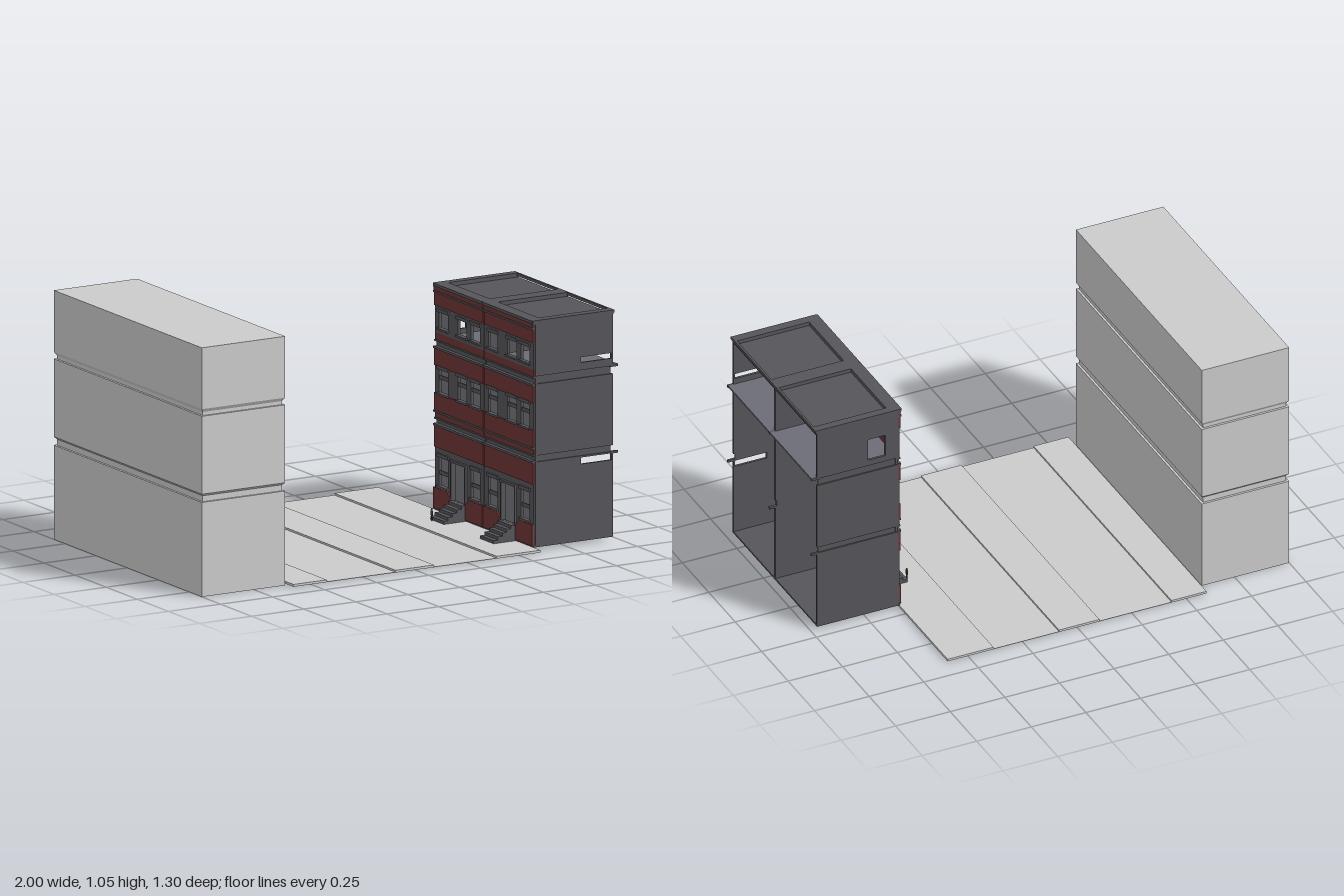
import * as THREE from 'three';

const grey = new THREE.MeshStandardMaterial({ color: 0xcccccc });
const dark = new THREE.MeshStandardMaterial({ color: 0x56555a, side: THREE.DoubleSide });
const red = new THREE.MeshStandardMaterial({ color: 0x6f3434, side: THREE.DoubleSide });
const slate = new THREE.MeshStandardMaterial({ color: 0x6c6c78, side: THREE.DoubleSide });

function add(parent, name, geometry, material) {
  const mesh = new THREE.Mesh(geometry, material);
  mesh.name = name;
  parent.add(mesh);
  return mesh;
}

// Box given by its limits on each axis
function box(parent, name, mat, x0, x1, y0, y1, z0, z1) {
  const g = new THREE.BoxGeometry(x1 - x0, y1 - y0, z1 - z0);
  g.translate((x0 + x1) / 2, (y0 + y1) / 2, (z0 + z1) / 2);
  return add(parent, name, g, mat);
}

// Box whose bottom edge is drawn in by a small inset
function flaredBox(parent, name, mat, x0, x1, y0, y1, z0, z1, inset) {
  const mesh = box(parent, name, mat, x0, x1, y0, y1, z0, z1);
  const p = mesh.geometry.attributes.position;
  for (let i = 0; i < p.count; i++) {
    if (p.getY(i) > (y0 + y1) / 2) continue;
    p.setX(i, p.getX(i) + (p.getX(i) > (x0 + x1) / 2 ? -inset : inset));
    p.setZ(i, p.getZ(i) + (p.getZ(i) > (z0 + z1) / 2 ? -inset : inset));
  }
  mesh.geometry.computeVertexNormals();
  return mesh;
}

// Flat panel with rectangular holes, each [u0, u1, v0, v1]
function panel(points, holes, depth) {
  const shape = new THREE.Shape(points.map(([u, v]) => new THREE.Vector2(u, v)));
  for (const [u0, u1, v0, v1] of holes) {
    shape.holes.push(new THREE.Path([[u0, v0], [u0, v1], [u1, v1], [u1, v0]]
      .map(([u, v]) => new THREE.Vector2(u, v))));
  }
  return new THREE.ExtrudeGeometry(shape, { depth, bevelEnabled: false });
}
const rect = (u0, u1, v0, v1) => [[u0, v0], [u1, v0], [u1, v1], [u0, v1]];

// Panel standing in the facade plane, its inner side at x
function facadePanel(parent, name, mat, points, holes, x, depth) {
  add(parent, name, panel(points, holes, depth).rotateY(-Math.PI / 2).translate(x, 0, 0), mat);
}

// Plain grooved building across the street
function plainBlock() {
  const g = new THREE.Group();
  g.name = 'plainBlock';
  const i = 0.01;
  box(g, 'lowerStorey', grey, -1, -0.6, 0, 0.40, -0.59, 0.6);
  [[0.40, 0.425, 0.435, 0.765], [0.765, 0.78, 0.795, 1.055]].forEach(([a, b, c, d]) => {
    box(g, 'groove', grey, -1 + i, -0.6 - i, a, b, -0.59 + i, 0.6 - i);
    flaredBox(g, 'grooveSlope', grey, -1, -0.6, b, c, -0.59, 0.6, i);
    box(g, 'upperStorey', grey, -1, -0.6, c, d, -0.59, 0.6);
  });
  return g;
}

// Raised pavements with road lanes between
function street() {
  const g = new THREE.Group();
  g.name = 'street';
  for (const [a, b] of [[-0.59, -0.43], [-0.1, 0.085], [0.385, 0.595]])
    box(g, 'pavement', grey, a, b, 0.003, 0.013, -0.655, 0.65);
  for (const [a, b] of [[-0.43, -0.1], [0.085, 0.385]])
    box(g, 'road', grey, a, b, 0.003, 0.005, -0.655, 0.65);
  return g;
}

// Brick front of one house, built around z = 0
function facade() {
  const g = new THREE.Group();
  g.name = 'facade';
  const w = 0.197;
  const columns = [[-0.165, -0.092], [-0.012, 0.058], [0.095, 0.165]];
  const brick = (y0, y1, x = 0.59) => box(g, 'brickBand', red, x, 0.608, y0, y1, -w, w);
  brick(0.28, 0.37);
  brick(0.405, 0.428, 0.594);
  brick(0.436, 0.51);
  brick(0.625, 0.697);
  brick(0.735, 0.765, 0.594);
  brick(0.88, 0.935);
  brick(0.943, 0.962, 0.588);
  // ledges and grooves between the bands
  for (const [y0, y1, x] of [[0.37, 0.38, 0.586], [0.38, 0.398, 0.602], [0.398, 0.405, 0.59],
    [0.428, 0.436, 0.586], [0.697, 0.707, 0.586], [0.707, 0.728, 0.602], [0.728, 0.735, 0.59],
    [0.935, 0.943, 0.584], [0.962, 0.974, 0.584]])
    box(g, 'ledge', dark, x, 0.612, y0, y1, -w, w);

  // upper window rows
  for (const [y0, y1, a, b, sash] of [[0.51, 0.625, 0.515, 0.615, true], [0.765, 0.88, 0.79, 0.857, false]]) {
    facadePanel(g, 'windowBand', dark, rect(-w, w, y0, y1), columns.map(([l, r]) => [l, r, a, b]), 0.606, 0.012);
    for (const [l, r] of columns) {
      box(g, 'sill', dark, 0.584, 0.6, a - 0.009, a, l - 0.007, r + 0.007);
      box(g, 'lintel', dark, 0.587, 0.6, b, b + 0.014, l - 0.007, r + 0.007);
      if (sash) box(g, 'sashBar', dark, 0.598, 0.603, 0.571, 0.588, l, r);
    }
  }

  // ground floor with door opening
  const low = [columns[0], columns[2]];
  facadePanel(g, 'groundWall', dark, rect(-w, w, 0.02, 0.28),
    [...low.map(([l, r]) => [l, r, 0.122, 0.243]), [-0.052, 0.052, 0.08, 0.243]], 0.606, 0.012);
  for (const [l, r] of low) {
    box(g, 'sashBar', dark, 0.598, 0.603, 0.168, 0.185, l, r);
    box(g, 'sill', dark, 0.583, 0.6, 0.112, 0.122, l - 0.007, r + 0.007);
    box(g, 'lintel', dark, 0.587, 0.6, 0.243, 0.258, l - 0.007, r + 0.007);
  }
  for (const s of [-1, 1]) {
    box(g, 'doorJamb', dark, 0.585, 0.61, 0.08, 0.25, s * 0.056 - 0.004, s * 0.056 + 0.004);
    facadePanel(g, 'brickBase', red,
      [[s * 0.06, 0.02], [s * w, 0.02], [s * w, 0.11], [s * 0.09, 0.11], [s * 0.06, 0.085]], [], 0.61, 0.024);
  }
  box(g, 'doorHead', dark, 0.583, 0.61, 0.243, 0.253, -0.062, 0.062);

  // front steps
  for (let i = 0; i < 5; i++)
    box(g, 'step', dark, 0.487 + i * 0.021, 0.592, 0.013 + i * 0.0135, 0.0265 + i * 0.0135, -0.054, 0.054);
  return g;
}

// Side or party wall with grooves at each floor
function wall(parent, name, z0, z1, holes, inset) {
  [[0.02, 0.375], [0.402, 0.705], [0.738, 0.972]].forEach(([y0, y1], i) => {
    const geo = panel(rect(0.6, 0.972, y0, y1), holes[i] || [], z1 - z0).translate(0, 0, z0);
    add(parent, name, geo, dark);
  });
  for (const [y0, y1] of [[0.375, 0.402], [0.705, 0.738]])
    box(parent, name + 'Groove', dark, 0.607, 0.965, y0, y1, z0 + inset[0], z1 - inset[1]);
  for (const y of [0.372, 0.739])
    box(parent, name + 'Bracket', dark, 0.96, 0.998, y - 0.005, y + 0.005, z0, z1);
}

function rowHouses() {
  const g = new THREE.Group();
  g.name = 'rowHouses';
  for (const z of [0, 0.4]) {
    const f = facade();
    f.position.z = z;
    g.add(f);
  }
  wall(g, 'sideWall', 0.59, 0.6, [[[0.82, 0.965, 0.34, 0.368]], [], [[0.82, 0.965, 0.77, 0.793]]], [0, 0.006]);
  wall(g, 'partyWall', 0.194, 0.206, [], [0, 0]);
  wall(g, 'windowWall', -0.2, -0.19, [[], [], [[0.66, 0.74, 0.765, 0.865]]], [0.006, 0]);

  // floors
  box(g, 'groundFloor', dark, 0.592, 0.972, 0.014, 0.022, -0.2, 0.6);
  box(g, 'topFloor', slate, 0.607, 0.996, 0.736, 0.744, -0.19, 0.59);

  // roof with low parapet around sunken panels
  box(g, 'roof', dark, 0.6, 0.975, 0.95, 0.957, -0.195, 0.595);
  box(g, 'frontParapet', dark, 0.588, 0.64, 0.957, 0.974, -0.2, 0.6);
  for (const [a, b] of [[-0.2, -0.165], [0.165, 0.235], [0.56, 0.6]])
    box(g, 'parapet', dark, 0.64, 0.975, 0.957, 0.974, a, b);
  box(g, 'rearTrim', dark, 0.97, 0.98, 0.962, 0.974, -0.2, 0.6);
  return g;
}

// Tiny standing figure
function figure(x, y, z) {
  const g = new THREE.Group();
  g.name = 'figure';
  for (const s of [-1, 1]) {
    add(g, 'leg', new THREE.CylinderGeometry(0.002, 0.002, 0.024, 6).translate(0, 0.012, s * 0.003), dark);
    add(g, 'arm', new THREE.CylinderGeometry(0.0015, 0.0015, 0.02, 6).translate(0, 0.032, s * 0.007), dark);
  }
  add(g, 'torso', new THREE.CylinderGeometry(0.005, 0.004, 0.02, 8).translate(0, 0.033, 0), dark);
  add(g, 'head', new THREE.SphereGeometry(0.004, 8, 6).translate(0, 0.048, 0), dark);
  g.position.set(x, y, z);
  return g;
}

export function createModel() {
  const model = new THREE.Group();
  model.name = 'streetScene';
  model.add(plainBlock(), street(), rowHouses(), figure(0.479, 0.013, -0.03), figure(0.8, 0.744, 0.18));
  // rest the lowest surface on the ground
  return model;
}
